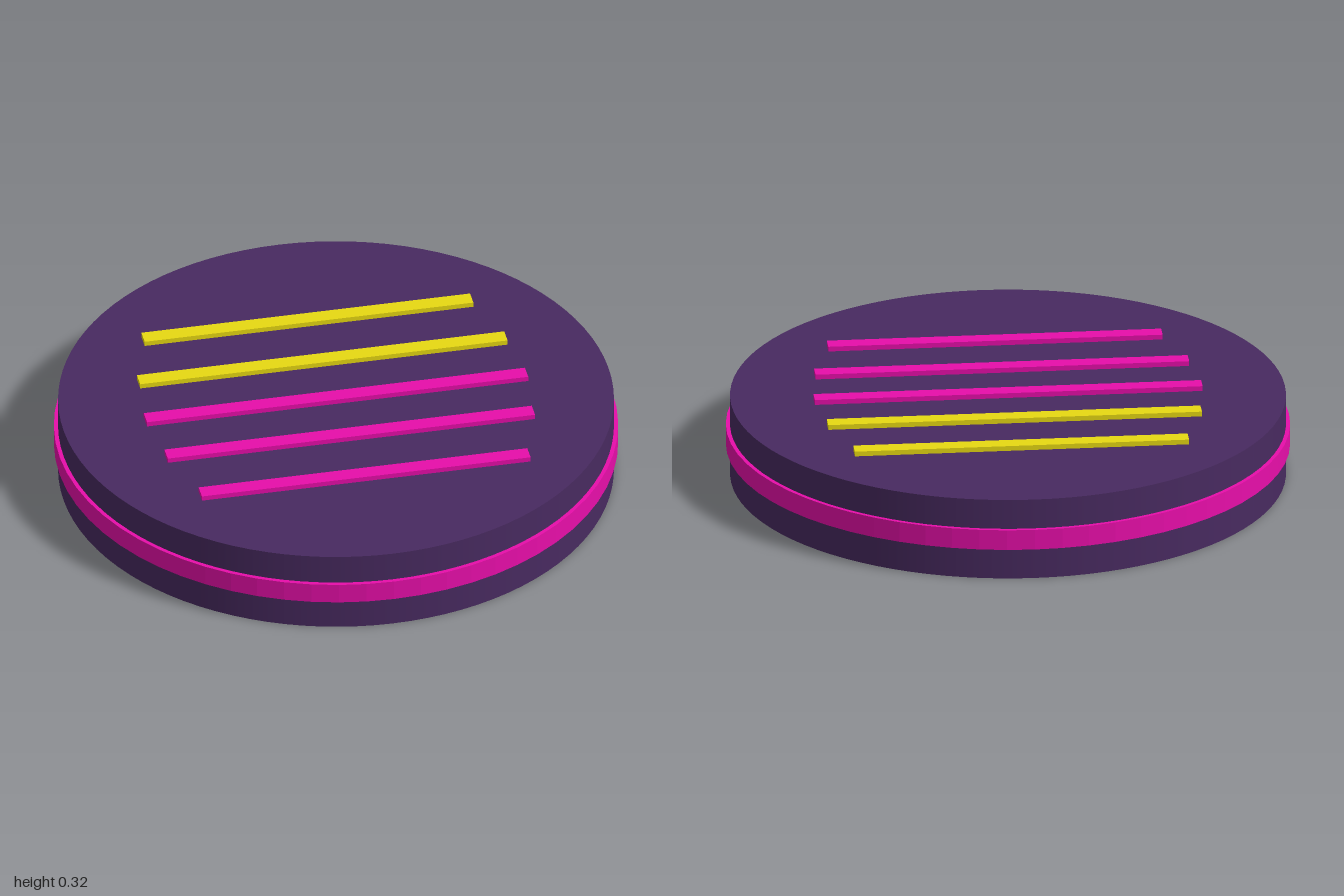
import * as THREE from 'three';

const material = (name, color, extra = {}) => {
  const m = new THREE.MeshStandardMaterial({ color, ...extra });
  m.name = name;
  return m;
};

export function createModel() {
  const group = new THREE.Group();
  group.name = 'stripedDisc';

  const purple = material('dark purple', 0x482a60);
  const pink = material('hot pink', 0xe80eaa);
  const pinkBand = pink;
  const yellow = material('yellow', 0xe8da12);

  const add = (name, geometry, mat, y, z = 0) => {
    const mesh = new THREE.Mesh(geometry, mat);
    mesh.name = name;
    mesh.position.set(0, y, z);
    group.add(mesh);
  };

  // Round body, standing on the ground
  add('disc', new THREE.CylinderGeometry(0.985, 0.985, 0.3, 96), purple, 0.15);

  // Raised band around the rim, with facets
  const band = new THREE.CylinderGeometry(1, 1, 0.075, 64).toNonIndexed();
  band.computeVertexNormals();
  add('rimBand', band, pinkBand, 0.1525);

  // Raised bars across the top, from back to front: [z, length, colour]
  const bars = [
    [-0.493, 1.19, yellow],
    [-0.237, 1.33, yellow],
    [0, 1.38, pink],
    [0.237, 1.33, pink],
    [0.493, 1.19, pink],
  ];
  bars.forEach(([z, length, mat], i) => {
    add(`topBar${i + 1}`, new THREE.BoxGeometry(length, 0.03, 0.058), mat, 0.303, z);
  });

  return group;
}
